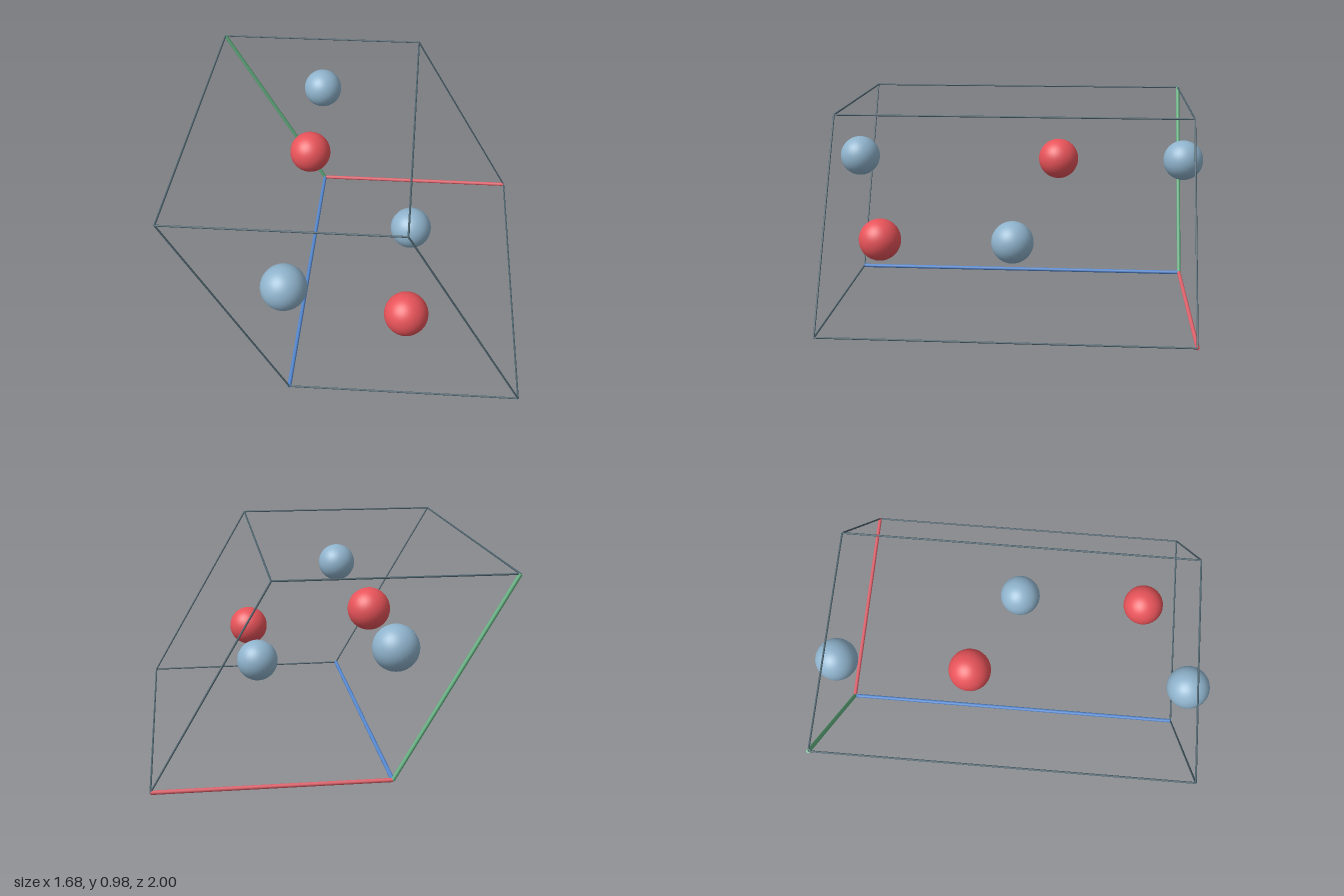
import * as THREE from 'three';

const material = (name, color) => {
  const m = new THREE.MeshStandardMaterial({ color });
  m.name = name;
  return m;
};

export function createModel() {
  const group = new THREE.Group();
  group.name = 'crystalCell';

  const steel = material('steel blue', 0x8fb3cc);
  const red = material('red', 0xe8545a);
  const axisRed = material('axis red', 0xe0626c);
  const axisGreen = material('axis green', 0x62b080);
  const axisBlue = material('axis blue', 0x5588d0);
  const slate = material('slate edge', 0x4c626c);

  // Hexagonal lattice vectors
  const side = 1.113, length = 1.784, axisRadius = 0.01;
  const origin = new THREE.Vector3(-side / 4 + 0.002, 0.012, -length / 2);
  const lattice = [
    new THREE.Vector3(side, 0, 0),
    new THREE.Vector3(-side / 2, side * Math.sqrt(3) / 2, 0),
    new THREE.Vector3(0, 0, length),
  ];
  const at = (u, v, w) => origin.clone()
    .addScaledVector(lattice[0], u)
    .addScaledVector(lattice[1], v)
    .addScaledVector(lattice[2], w);

  const rod = (name, from, to, radius, mat) => {
    const dir = to.clone().sub(from);
    const mesh = new THREE.Mesh(new THREE.CylinderGeometry(radius, radius, dir.length(), 12), mat);
    mesh.position.copy(from).addScaledVector(dir, 0.5);
    mesh.quaternion.setFromUnitVectors(new THREE.Vector3(0, 1, 0), dir.normalize());
    mesh.name = name;
    group.add(mesh);
  };

  // Twelve cell edges: the three meeting at the origin are thick coloured axes
  const axes = [['axisA', axisRed], ['axisB', axisGreen], ['axisC', axisBlue]];
  for (let k = 0; k < 3; k++) {
    for (const p of [0, 1]) for (const q of [0, 1]) {
      const start = [0, 0, 0];
      start[(k + 1) % 3] = p;
      start[(k + 2) % 3] = q;
      const end = start.slice();
      end[k] = 1;
      if (p + q === 0) rod(axes[k][0], at(...start), at(...end), axisRadius, axes[k][1]);
      else rod('cellEdge', at(...start), at(...end), 0.0045, slate);
    }
  }

  // Atoms in fractional coordinates
  const ball = new THREE.SphereGeometry(0.108, 32, 24);
  const atoms = [
    ['blueAtom', steel, 1 / 3, 2 / 3, 0],
    ['blueAtom', steel, 1 / 3, 2 / 3, 1],
    ['blueAtom', steel, 2 / 3, 1 / 3, 0.5],
    ['redAtom', red, 1 / 3, 2 / 3, 0.381],
    ['redAtom', red, 2 / 3, 1 / 3, 0.881],
  ];
  for (const [name, mat, u, v, w] of atoms) {
    const atom = new THREE.Mesh(ball, mat);
    atom.position.copy(at(u, v, w));
    atom.name = name;
    group.add(atom);
  }
  return group;
}
